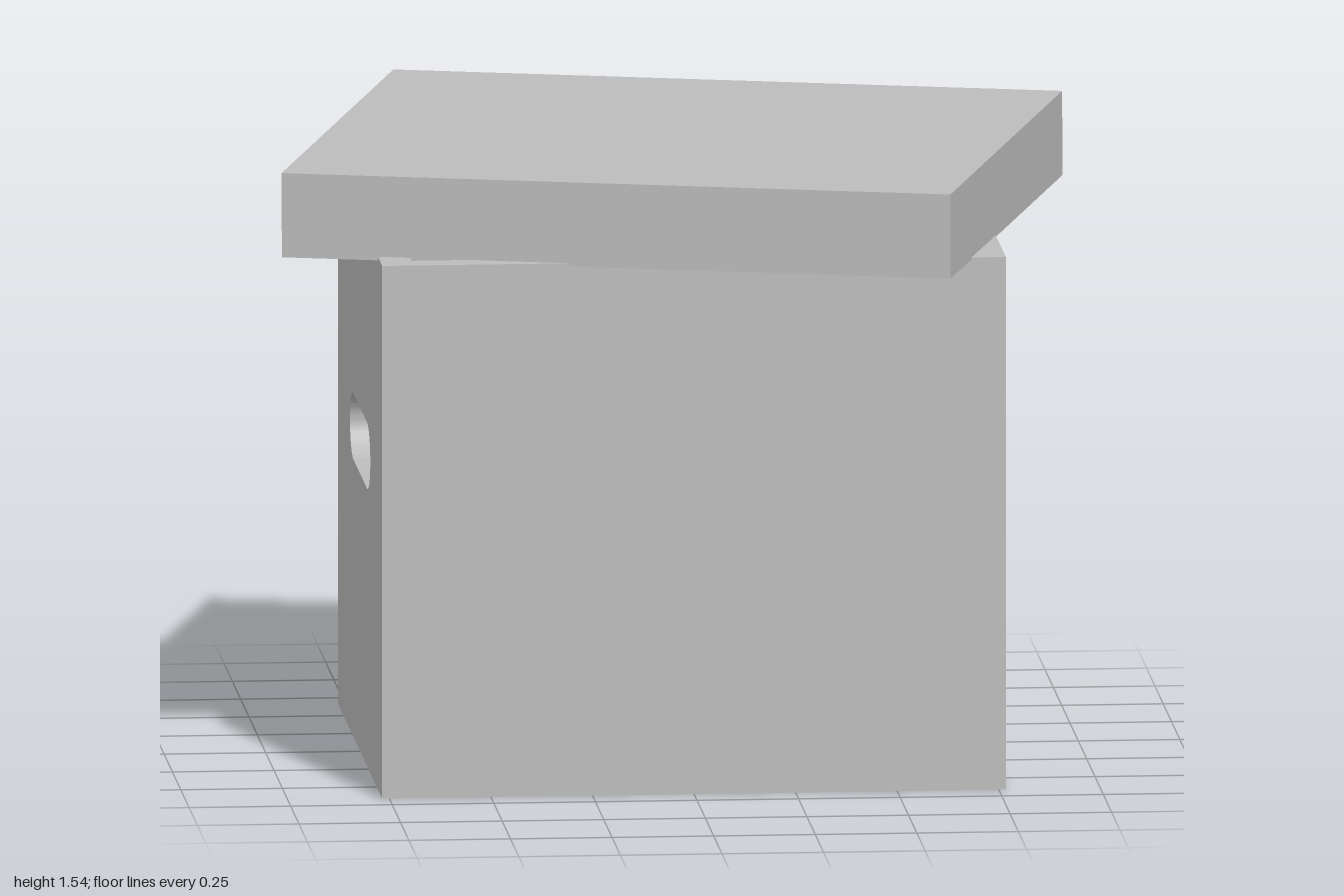
import * as THREE from 'three';
import { toCreasedNormals } from 'three/addons/utils/BufferGeometryUtils.js';

const W = 1.535, D = 1.325, H = 1.327;   // box outside size
const TX = 0.077, TZ = 0.066;            // wall thickness along x and z

function rectPath(path, w, h) {
  path.moveTo(-w / 2, -h / 2);
  path.lineTo(w / 2, -h / 2);
  path.lineTo(w / 2, h / 2);
  path.lineTo(-w / 2, h / 2);
  path.closePath();
  return path;
}

function extrude(shape, depth) {
  const g = new THREE.ExtrudeGeometry(shape, { depth, bevelEnabled: false, curveSegments: 16 });
  g.translate(0, 0, -depth / 2);
  return toCreasedNormals(g, 0.6);
}

export function createModel() {
  const cardboard = new THREE.MeshStandardMaterial({ color: 0xbcbcbc });
  cardboard.name = 'grey cardboard';

  const add = (parent, name, geometry, x, y, z) => {
    const mesh = new THREE.Mesh(geometry, cardboard);
    mesh.name = name;
    mesh.position.set(x, y, z);
    parent.add(mesh);
    return mesh;
  };

  const model = new THREE.Group();
  model.name = 'storageBox';

  // Open box
  const box = new THREE.Group();
  box.name = 'box';
  model.add(box);
  add(box, 'floor', new THREE.BoxGeometry(W - 2 * TX, TZ, D), 0, TZ / 2, 0);

  // Side walls with an elongated hand hole
  const wall = rectPath(new THREE.Shape(), D, H);
  const hole = new THREE.Path();
  const hx = 0.205, rx = 0.1, ry = 0.0825, hy = 0.774 - H / 2;
  hole.moveTo(hx, hy - ry);
  hole.absellipse(hx, hy, rx, ry, -Math.PI / 2, Math.PI / 2, false);
  hole.absellipse(-hx, hy, rx, ry, Math.PI / 2, Math.PI * 1.5, false);
  hole.closePath();
  wall.holes.push(hole);
  const sideGeometry = extrude(wall, TX);
  for (const s of [-1, 1]) {
    const side = add(box, s > 0 ? 'leftWall' : 'rightWall', sideGeometry, s * (W - TX) / 2, H / 2, 0);
    side.rotation.y = Math.PI / 2;
    add(box, s > 0 ? 'frontWall' : 'backWall',
      new THREE.BoxGeometry(W - 2 * TX, H - TZ, TZ), 0, (H + TZ) / 2, s * (D - TZ) / 2);
  }

  // Lid, twisted and very slightly tipped on top of the box
  const LW = 1.671, LD = 1.443, LH = 0.21, LT = 0.068;
  const lid = new THREE.Group();
  lid.name = 'lid';
  lid.position.y = 1.427;
  lid.rotation.set(0.004, -0.273, 0.003);
  model.add(lid);
  add(lid, 'lidTop', new THREE.BoxGeometry(LW, LT, LD), 0, (LH - LT) / 2, 0);
  const rim = rectPath(new THREE.Shape(), LW, LD);
  rim.holes.push(rectPath(new THREE.Path(), LW - 2 * 0.075, LD - 2 * 0.068));
  const skirt = add(lid, 'lidSkirt', extrude(rim, LH - LT), 0, -LT / 2, 0);
  skirt.rotation.x = -Math.PI / 2;

  return model;
}
